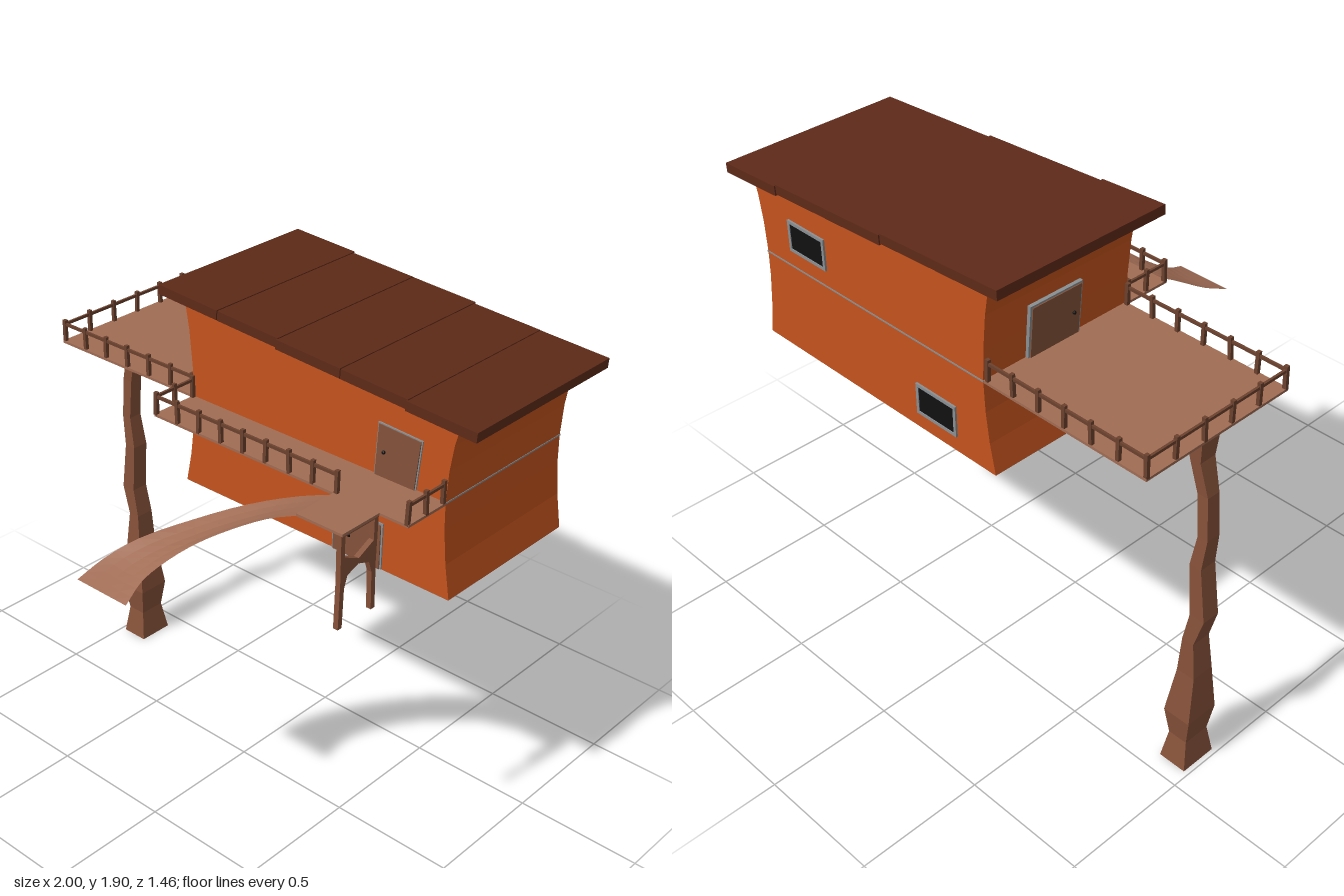
import * as THREE from 'three';

const mat = (color) => new THREE.MeshStandardMaterial({ color, flatShading: true });
const M = {
  wall: mat(0xc4531d), roof: mat(0x5e2a18), deck: mat(0xa06c54), trunk: mat(0x87523a),
  rail: mat(0x6b412e), door: mat(0x84533b), grey: mat(0x8a8f92), dark: mat(0x111111),
  slide: mat(0xa06c54),
};
M.slide.side = THREE.DoubleSide;

export function createModel() {
  const root = new THREE.Group();

  function add(name, geo, material, x = 0, y = 0, z = 0, parent = root) {
    const m = new THREE.Mesh(geo, material);
    m.name = name;
    m.position.set(x, y, z);
    parent.add(m);
    return m;
  }
  // box given by its min and max along each axis
  function span(name, material, [x0, x1], [y0, y1], [z0, z1], parent = root) {
    return add(name, new THREE.BoxGeometry(x1 - x0, y1 - y0, z1 - z0), material,
      (x0 + x1) / 2, (y0 + y1) / 2, (z0 + z1) / 2, parent);
  }
  const shapeOf = (pts) => new THREE.Shape(pts.map(([x, y]) => new THREE.Vector2(x, y)));
  const prism = (shape, depth) => new THREE.ExtrudeGeometry(shape, { depth, bevelEnabled: false });

  // House body with pinched side walls
  const house = shapeOf([
    [-0.32, 1.12], [0.91, 1.12], [0.887, 1.25], [0.873, 1.38], [0.87, 1.48], [0.876, 1.6], [0.89, 1.7], [0.912, 1.79],
    [-0.318, 1.87], [-0.295, 1.74], [-0.281, 1.6], [-0.275, 1.48], [-0.281, 1.36], [-0.296, 1.24],
  ]);
  add('houseWalls', prism(house, 0.66), M.wall, 0, 0, -0.69);
  span('houseFloor', M.deck, [-0.318, 0.908], [1.117, 1.124], [-0.688, -0.032]);
  span('wallSeam', M.grey, [-0.277, 0.872], [1.477, 1.483], [-0.692, -0.028]);

  // Roof of five overlapping panels
  const roof = new THREE.Group();
  roof.name = 'roof';
  root.add(roof);
  for (let i = 0; i < 5; i++) {
    const t = (i + 0.5) / 5;
    const p = add('roofPanel', new THREE.BoxGeometry(0.284, 0.037, i % 2 ? 0.738 : 0.748), M.roof,
      -0.4 + 1.4 * t, 1.881 - 0.1 * t, -0.36, roof);
    p.rotation.z = -0.058;
  }

  // Decks and slide platform
  span('sideDeck', M.deck, [-0.99, -0.27], [1.474, 1.484], [-0.69, -0.03]);
  span('frontBalcony', M.deck, [-0.28, 0.873], [1.474, 1.484], [-0.03, 0.17]);
  span('slidePlatform', M.deck, [0.56, 0.755], [1.474, 1.484], [0.165, 0.355]);

  // Railing run between two points: posts plus a top bar
  function railing(name, [x0, z0], [x1, z1], segments) {
    const g = new THREE.Group();
    g.name = name;
    root.add(g);
    for (let i = 0; i <= segments; i++) {
      const t = i / segments;
      const post = add('railPost', new THREE.BoxGeometry(0.014, 0.09, 0.014), M.rail,
        x0 + (x1 - x0) * t, 1.525, z0 + (z1 - z0) * t, g);
      post.rotation.z = 0.04 * Math.sin(i * 2.3);
    }
    const bar = add('topRail', new THREE.BoxGeometry(Math.hypot(x1 - x0, z1 - z0), 0.011, 0.009), M.rail,
      (x0 + x1) / 2, 1.553, (z0 + z1) / 2, g);
    bar.rotation.y = -Math.atan2(z1 - z0, x1 - x0);
  }
  railing('sideDeckFrontRailing', [-0.983, -0.038], [-0.29, -0.038], 6);
  railing('sideDeckBackRailing', [-0.983, -0.682], [-0.29, -0.682], 6);
  railing('sideDeckEndRailing', [-0.983, -0.682], [-0.983, -0.038], 5);
  railing('balconyFrontRailing', [-0.274, 0.164], [0.57, 0.164], 8);
  railing('balconyLeftEndRailing', [0.866, -0.02], [0.866, 0.164], 2);
  railing('balconyRightEndRailing', [-0.274, -0.02], [-0.274, 0.164], 2);

  // Gnarled four-sided trunk: rows of y, x range, z range
  const rows = [
    [0, -0.98, -0.865, -0.43, -0.28], [0.12, -0.965, -0.885, -0.41, -0.30], [0.235, -0.985, -0.87, -0.425, -0.287],
    [0.44, -0.98, -0.903, -0.405, -0.312], [0.59, -0.965, -0.915, -0.40, -0.32], [0.71, -1.0, -0.938, -0.395, -0.322],
    [0.92, -0.97, -0.92, -0.388, -0.318], [1.05, -0.985, -0.943, -0.382, -0.323], [1.22, -0.975, -0.93, -0.38, -0.325],
    [1.35, -0.945, -0.9, -0.39, -0.32], [1.475, -0.957, -0.892, -0.40, -0.31],
  ];
  const trunkPos = [], trunkIdx = [];
  rows.forEach(([y, x0, x1, z0, z1], r) => {
    trunkPos.push(x0, y, z1, x1, y, z1, x1, y, z0, x0, y, z0);
    for (let k = 0; r > 0 && k < 4; k++) {
      const a = (r - 1) * 4 + k, b = (r - 1) * 4 + (k + 1) % 4;
      trunkIdx.push(a, b, b + 4, a, b + 4, a + 4);
    }
  });
  const top = (rows.length - 1) * 4;
  trunkIdx.push(0, 2, 1, 0, 3, 2, top, top + 1, top + 2, top, top + 2, top + 3);
  add('trunkPillar', surface(trunkPos, trunkIdx), M.trunk);

  // Curved slide: strip between an outer and an inner edge, sagging in the middle
  const curve = (pts) => new THREE.CatmullRomCurve3(pts.map((p) => new THREE.Vector3(...p)));
  const outer = curve([[0.57, 1.48, 0.17], [0.42, 1.42, 0.18], [0.25, 1.35, 0.245], [0.1, 1.28, 0.36],
    [-0.02, 1.22, 0.51], [-0.08, 1.165, 0.62], [-0.1, 1.12, 0.73]]);
  const inner = curve([[0.57, 1.48, 0.355], [0.43, 1.41, 0.355], [0.31, 1.34, 0.40], [0.22, 1.28, 0.465],
    [0.155, 1.22, 0.54], [0.12, 1.165, 0.63], [0.14, 1.12, 0.73]]);
  const N = 18, C = 4, slidePos = [], slideIdx = [];
  for (let i = 0; i <= N; i++) {
    const a = outer.getPoint(i / N), b = inner.getPoint(i / N);
    for (let j = 0; j <= C; j++) {
      const p = a.clone().lerp(b, j / C);
      const sag = 0.014 * Math.sin(Math.PI * j / C) * Math.sin(Math.PI * i / N);
      slidePos.push(p.x, p.y - sag, p.z);
      if (i < N && j < C) {
        const k = i * (C + 1) + j;
        slideIdx.push(k, k + C + 1, k + 1, k + 1, k + C + 1, k + C + 2);
      }
    }
  }
  add('slide', surface(slidePos, slideIdx), M.slide);

  // Arched leg frame under the platform, drawn in z and y
  const frame = shapeOf([
    [0.17, 1.12], [0.19, 1.12], [0.195, 1.27], [0.21, 1.315], [0.265, 1.335], [0.32, 1.315], [0.335, 1.27],
    [0.34, 1.12], [0.36, 1.12], [0.355, 1.3], [0.357, 1.475], [0.17, 1.475], [0.175, 1.3],
  ]);
  frame.holes.push(shapeOf([[0.19, 1.468], [0.19, 1.39], [0.265, 1.355], [0.337, 1.39], [0.337, 1.468]]));
  add('platformLegFrame', prism(frame, 0.02).rotateY(-Math.PI / 2), M.trunk, 0.753);

  // Front doors
  add('upperDoorFrame', prism(shapeOf([[0.573, 1.48], [0.75, 1.48], [0.768, 1.672], [0.583, 1.682]]), 0.006),
    M.grey, 0, 0, -0.031);
  add('upperDoor', prism(shapeOf([[0.578, 1.48], [0.745, 1.48], [0.763, 1.668], [0.588, 1.677]]), 0.01),
    M.door, 0, 0, -0.031);
  add('upperDoorKnob', new THREE.SphereGeometry(0.007, 8, 6), M.dark, 0.615, 1.58, -0.018);
  span('lowerDoorFrame', M.grey, [0.4, 0.622], [1.121, 1.302], [-0.031, -0.025]);
  span('lowerDoor', M.door, [0.407, 0.615], [1.121, 1.295], [-0.031, -0.021]);
  span('lowerDoorHandle', M.dark, [0.45, 0.485], [1.2, 1.207], [-0.021, -0.015]);

  // Door onto the side deck, leaning with the wall
  const sideDoor = new THREE.Group();
  sideDoor.name = 'sideDoor';
  sideDoor.position.set(-0.283, 1.48, -0.385);
  sideDoor.rotation.z = 0.08;
  root.add(sideDoor);
  span('sideDoorFrame', M.grey, [-0.004, 0.01], [0, 0.21], [-0.118, 0.118], sideDoor);
  span('sideDoorPanel', M.door, [-0.008, 0.01], [0, 0.203], [-0.11, 0.11], sideDoor);
  add('sideDoorKnob', new THREE.SphereGeometry(0.007, 8, 6), M.dark, -0.012, 0.1, 0.08, sideDoor);

  // Back windows: four frame bars around a dark pane
  for (const [cx, cy] of [[0.62, 1.61], [-0.035, 1.245]]) {
    const w = new THREE.Group();
    w.name = 'backWindow';
    w.position.set(cx, cy, -0.692);
    root.add(w);
    add('windowPane', new THREE.BoxGeometry(0.18, 0.11, 0.006), M.dark, 0, 0, 0, w);
    for (const s of [-1, 1]) {
      add('windowFrameBar', new THREE.BoxGeometry(0.2, 0.012, 0.012), M.grey, 0, s * 0.056, 0, w);
      add('windowFrameBar', new THREE.BoxGeometry(0.012, 0.124, 0.012), M.grey, s * 0.094, 0, 0, w);
    }
  }
  return root;
}

function surface(positions, indices) {
  const g = new THREE.BufferGeometry();
  g.setAttribute('position', new THREE.Float32BufferAttribute(positions, 3));
  g.setIndex(indices);
  g.computeVertexNormals();
  return g;
}
